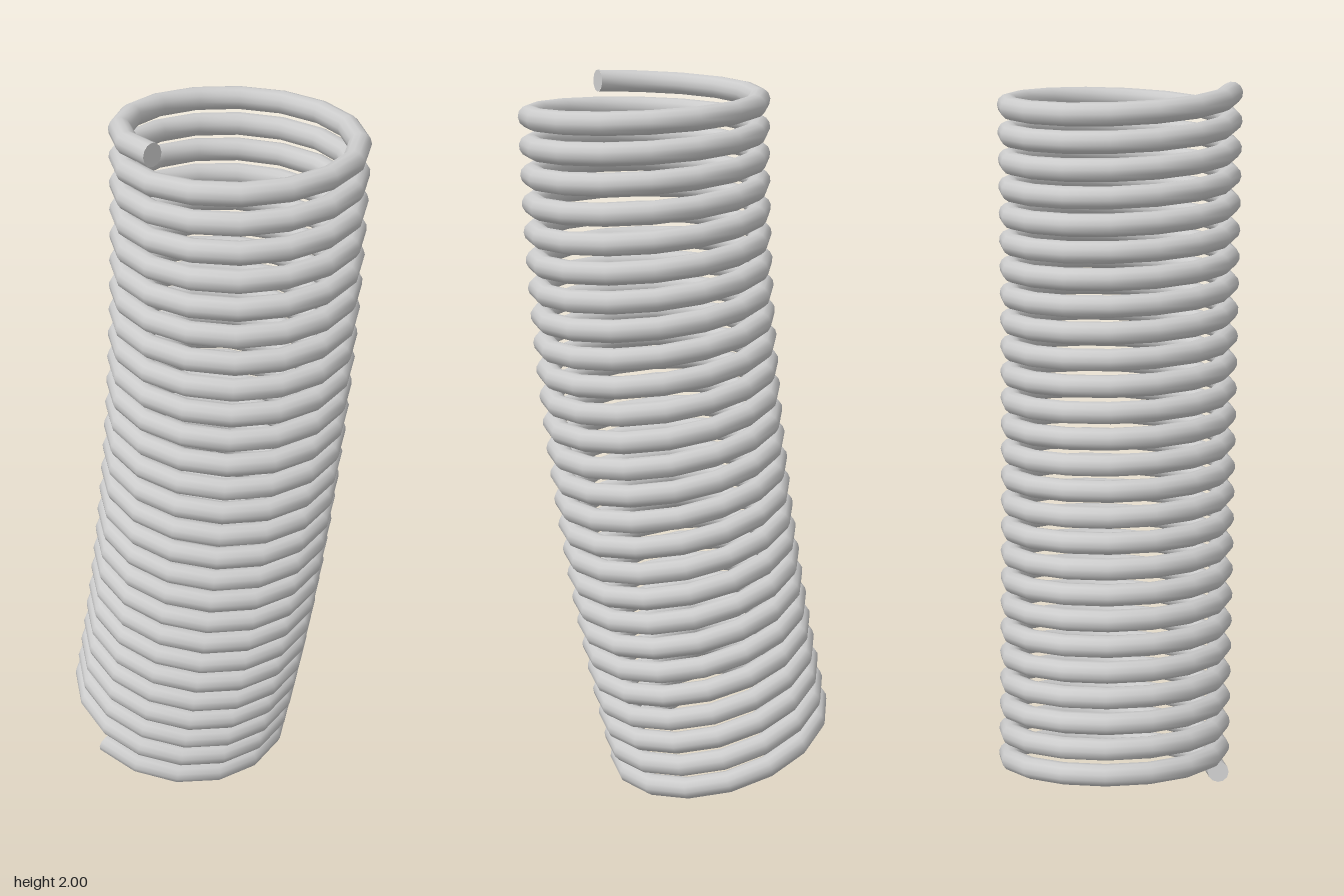
import * as THREE from 'three';

const TURNS = 26, STEPS = 16;          // coil count and straight segments per turn
const COIL = 0.299, WIRE = 0.03, SIDES = 12;
const BEND = 0.249, BEND_RADIUS = 7.64; // the coil's axis is a gentle arc, upright at the top
const TOP_Y = 1.97, TOP_Z = 0.105;

// Helix wound around the bent axis, from the bottom end to the top end
class BentHelix extends THREE.Curve {
  getPoint(u, target = new THREE.Vector3()) {
    const a = u * TURNS * Math.PI * 2;
    const tilt = BEND * (1 - u);
    const r = BEND_RADIUS - COIL * Math.sin(a);
    return target.set(
      -COIL * Math.cos(a),
      TOP_Y - BEND_RADIUS * Math.sin(tilt) - COIL * Math.sin(a) * Math.sin(tilt),
      TOP_Z + BEND_RADIUS * (Math.cos(tilt) - 1) + (BEND_RADIUS - r) * Math.cos(tilt)
    );
  }
  getTangent(u, target = new THREE.Vector3()) {
    const d = 1e-5;
    return target.copy(this.getPoint(u + d)).sub(this.getPoint(u - d)).normalize();
  }
  // Even steps in angle keep the corners of all turns aligned
  getPointAt(u, target) { return this.getPoint(u, target); }
  getTangentAt(u, target) { return this.getTangent(u, target); }
}

export function createModel() {
  const group = new THREE.Group();
  group.name = 'coilSpring';
  const material = new THREE.MeshStandardMaterial({ color: 0xcccccc });
  const path = new BentHelix();

  // Wire
  const wire = new THREE.Mesh(
    new THREE.TubeGeometry(path, TURNS * STEPS, WIRE, SIDES, false), material);
  wire.name = 'springWire';
  group.add(wire);

  // Flat cut ends
  for (const [name, u, dir] of [['bottomWireEnd', 0, -1], ['topWireEnd', 1, 1]]) {
    const cap = new THREE.Mesh(new THREE.CircleGeometry(WIRE, SIDES), material);
    cap.name = name;
    cap.position.copy(path.getPoint(u));
    cap.quaternion.setFromUnitVectors(
      new THREE.Vector3(0, 0, 1), path.getTangent(u).multiplyScalar(dir));
    group.add(cap);
  }
  return group;
}
